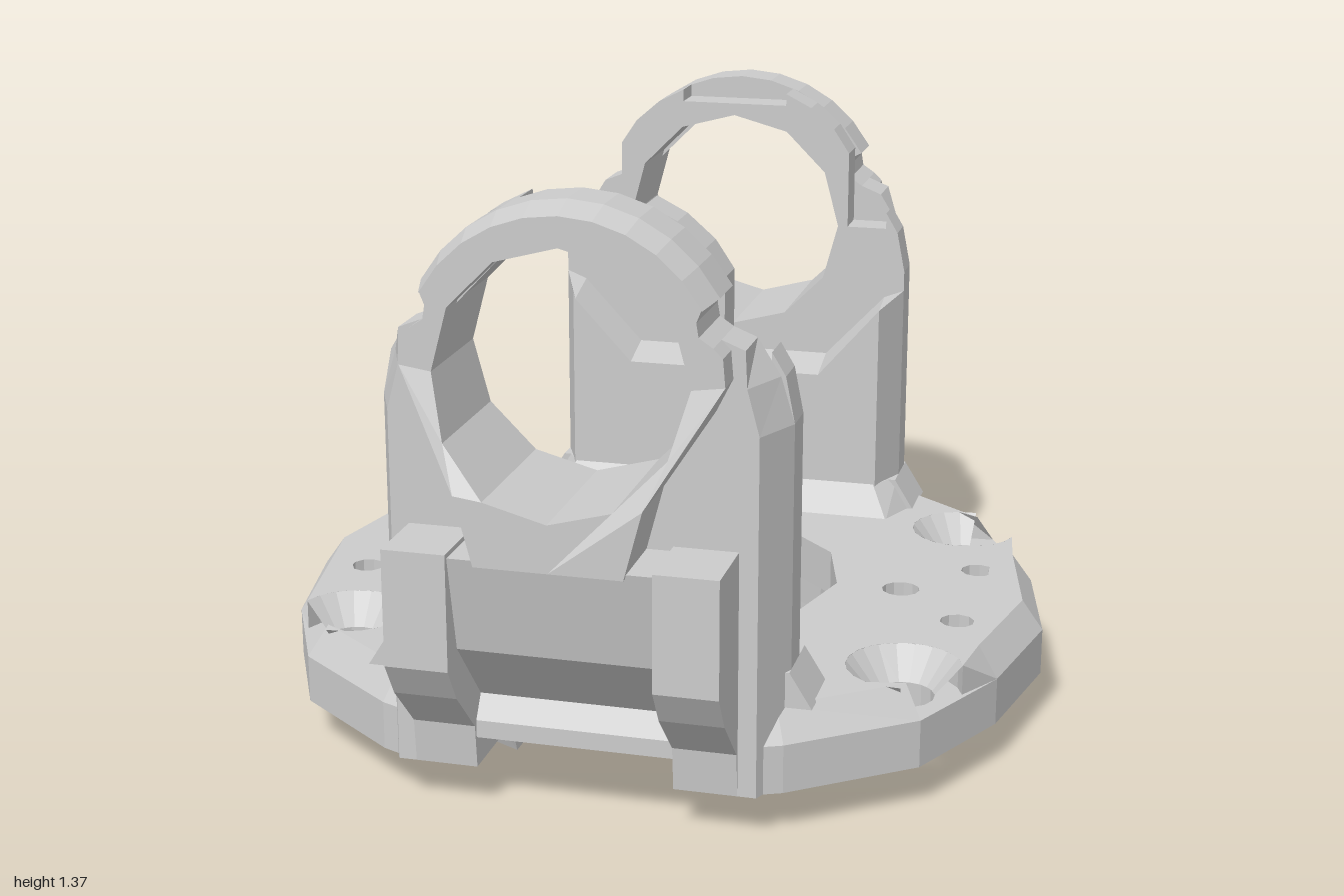
import * as THREE from 'three';

const grey = new THREE.MeshStandardMaterial({ color: 0xcccccc, flatShading: true, side: THREE.DoubleSide });

const mesh = (name, geometry) => {
  const m = new THREE.Mesh(geometry, grey);
  m.name = name;
  return m;
};

// points on an arc, angles in degrees
const arc = (cx, cy, r, a0, a1, n) => Array.from({ length: n + 1 }, (_, i) => {
  const a = THREE.MathUtils.degToRad(a0 + (a1 - a0) * i / n);
  return [cx + r * Math.cos(a), cy + r * Math.sin(a)];
});

const toVec = pts => pts.map(p => new THREE.Vector2(p[0], p[1]));

function makeShape(pts, holes = []) {
  const s = new THREE.Shape(toVec(pts));
  for (const [x, y, r, n] of holes) {
    s.holes.push(new THREE.Path(toVec(arc(x, y, r, 90, 450 - 360 / n, n - 1))));
  }
  return s;
}

// mirror a right-hand half outline in x
const mirrorX = half => half.concat(
  half.filter(p => Math.abs(p[0]) > 1e-6).map(([x, y]) => [-x, y]).reverse());

// move vertices by a rule: fn(vector) changes the vector in place
function warp(geo, fn) {
  const p = geo.attributes.position, v = new THREE.Vector3();
  for (let i = 0; i < p.count; i++) {
    v.fromBufferAttribute(p, i);
    fn(v);
    p.setXYZ(i, v.x, v.y, v.z);
  }
  geo.computeVertexNormals();
  return geo;
}

const extrude = (shape, depth) => new THREE.ExtrudeGeometry(shape, { depth, bevelEnabled: false });
const slabZ = (shape, z0, z1) => extrude(shape, z1 - z0).translate(0, 0, z0);
const slabY = (shape, y0, y1) => extrude(shape, y1 - y0).rotateX(-Math.PI / 2).translate(0, y0, 0);
// side profile given as (z, y)
const slabX = (pts, x0, x1) => extrude(makeShape(pts), x1 - x0).rotateY(-Math.PI / 2).translate(x1, 0, 0);

const SCREW = [0.65, 0.46];
const corners = [[1, 1], [-1, 1], [-1, -1], [1, -1]];

function basePlate() {
  const g = new THREE.Group();
  g.name = 'basePlate';
  const quarter = [[0.84, 0.32], [0.71, 0.59], [0.45, 0.79], [0.36, 0.83]];
  const bitten = [[0.84, 0.32], ...arc(...SCREW, 0.13, -14, -256, 14), [0.71, 0.59], [0.45, 0.79], [0.36, 0.83]];
  // full outline from one quarter
  const full = q => {
    const right = [...q.map(([x, y]) => [x, -y]).reverse(), [0.905, 0], ...q];
    return mirrorX(right);
  };
  const smallHoles = [1, -1].flatMap(s => [
    [s * 0.565, 0, 0.045, 12], [s * 0.725, 0.17, 0.04, 10], [s * 0.725, -0.17, 0.04, 10]]);
  const screwHoles = corners.map(([a, b]) => [a * SCREW[0], b * SCREW[1], 0.07, 14]);
  const bore = [0, 0, 0.41, 12];

  g.add(mesh('plateMiddle', slabY(makeShape(full(quarter), [bore, ...smallHoles, ...screwHoles]), 0.17, 0.21)));
  // top layer with sloped rim and scallops round the screw seats
  g.add(mesh('plateTop', warp(slabY(makeShape(full(bitten), [bore, ...smallHoles]), 0.21, 0.28), v => {
    const r = Math.hypot(v.x, v.z);
    if (v.y > 0.25 && r > 0.895) { v.x *= 0.945; v.z *= 0.945; }
  })));

  // lower halves leave a channel along z
  const lower = [
    [0.22, -0.83], ...quarter.map(([x, y]) => [x, -y]).reverse(), [0.905, 0], ...quarter, [0.22, 0.83],
    ...arc(0, 0, 0.41, 57.5, -57.5, 6)];
  const half = makeShape(lower, [...smallHoles, ...screwHoles].filter(h => h[0] > 0));
  // locating collar with a notch at the dowel hole
  const collar = makeShape([
    ...arc(0, 0, 0.57, -66, -5, 8), ...arc(0.565, 0, 0.045, 270, 90, 6), ...arc(0, 0, 0.57, 5, 66, 8),
    ...arc(0, 0, 0.46, 60, -60, 10)]);
  for (const turn of [0, Math.PI]) {
    g.add(mesh('plateBottom', slabY(half, 0.1, 0.17).rotateY(turn)));
    g.add(mesh('collar', warp(slabY(collar, 0, 0.1), v => {
      if (v.y > 0.05 && Math.abs(v.z) > 0.45) v.z *= 1.09;
    }).rotateY(turn)));
  }

  // countersunk seats, open where they meet the rim
  for (const [a, b] of corners) {
    const seat = new THREE.CylinderGeometry(0.13, 0.07, 0.07, 14, 1, true,
      Math.PI / 2 - Math.atan2(b * SCREW[1], a * SCREW[0]) + 0.85, Math.PI * 2 - 1.7);
    g.add(mesh('screwSeat', seat.translate(a * SCREW[0], 0.245, b * SCREW[1])));
  }
  return g;
}

function arm(name) {
  const g = new THREE.Group();
  g.name = name;
  const cy = 1.01, hole = [0, cy, 0.275, 12];
  const foot = [[0, 0.5], [0.22, 0.5], [0.22, 0.1], [0.45, 0.1]];
  const groove = [[0.32, 1.1], [0.29, 1.12], [0.285, 1.15], [0.295, 1.175]];
  const crown = arc(0, cy, 0.362, 29, 90, 5);

  // inner wall with a dipped ledge
  const wall = [[0, 0.17], [0.22, 0.17], [0.22, 0.1], [0.45, 0.1], [0.45, 0.85], [0.4, 0.83], [0.25, 0.67], [0, 0.67]];
  g.add(mesh('innerWall', warp(slabZ(makeShape(mirrorX(wall)), 0.53, 0.635), v => {
    if (v.z < 0.55) {
      if (Math.abs(v.x) > 0.44) v.x *= 0.9;
      if (v.y > 0.6) v.y -= 0.03;
    }
  })));

  // layer with nut pockets and a flat on the crown
  const pocket = [...foot, [0.45, 0.9], [0.43, 1.0], [0.4, 1.05], [0.4, 1.01], [0.3, 1.01], [0.3, 1.2],
    [0.26, 1.26], [0.2, 1.312], [0.135, 1.345], [0.135, 1.315], [0, 1.315]];
  g.add(mesh('pocketLayer', slabZ(makeShape(mirrorX(pocket), [hole]), 0.635, 0.72)));

  // main upright with bolt grooves
  const upright = [...foot, [0.45, 0.9], [0.42, 1.0], [0.37, 1.08], ...groove, ...crown];
  g.add(mesh('upright', warp(slabZ(makeShape(mirrorX(upright), [hole]), 0.72, 0.83), v => {
    if (v.z > 0.8 && Math.abs(v.x) > 0.4) v.x *= 0.89;
  })));

  // outer ring, flaring outwards below the bore
  const ring = [[0, 0.63], [0.16, 0.63], [0.2, 0.78], [0.31, 0.95], [0.345, 1.02], [0.34, 1.08], ...groove, ...crown];
  g.add(mesh('bearingRing', warp(slabZ(makeShape(mirrorX(ring), [hole]), 0.83, 0.9), v => {
    if (v.z < 0.88) return;
    v.z = 1 - 0.1 * THREE.MathUtils.clamp((v.y - 0.78) / 0.17, 0, 1);
    if (v.y > 1.15 && Math.hypot(v.x, v.y - cy) > 0.35) {
      v.x *= 0.94;
      v.y = cy + (v.y - cy) * 0.94;
    }
  })));

  // middle web above the sloped channel roof
  g.add(mesh('middleWeb', slabX(
    [[0.6, 0.17], [0.65, 0.17], [0.76, 0.22], [0.94, 0.42], [0.99, 0.64], [0.6, 0.64]], -0.22, 0.22)));

  // side lugs and foot fillets
  const lug = [[0.6, 0.1], [0.83, 0.1], [0.84, 0.2], [0.95, 0.31], [1, 0.39], [1, 0.65], [0.6, 0.65]];
  for (const s of [-1, 1]) {
    g.add(mesh('lug', slabX(lug, s > 0 ? 0.22 : -0.36, s > 0 ? 0.36 : -0.22)));
    const side = new THREE.BoxGeometry(0.05, 0.08, 0.16).translate(s * 0.425, 0.315, 0.66);
    g.add(mesh('sideFillet', warp(side, v => {
      if (v.y < 0.3 && Math.abs(v.x) > 0.44) v.x += s * 0.05;
    })));
  }
  const fillet = new THREE.BoxGeometry(0.9, 0.08, 0.08).translate(0, 0.315, 0.57);
  g.add(mesh('footFillet', warp(fillet, v => {
    if (v.z < 0.55) v.x *= 0.89;
    if (v.y < 0.3) {
      v.x *= 1.11;
      if (v.z < 0.55) v.z -= 0.05;
    }
  })));
  return g;
}

export function createModel() {
  const model = new THREE.Group();
  model.name = 'yokeBracket';
  const front = arm('frontArm'), back = arm('backArm');
  back.rotation.y = Math.PI;
  model.add(basePlate(), front, back);
  return model;
}
